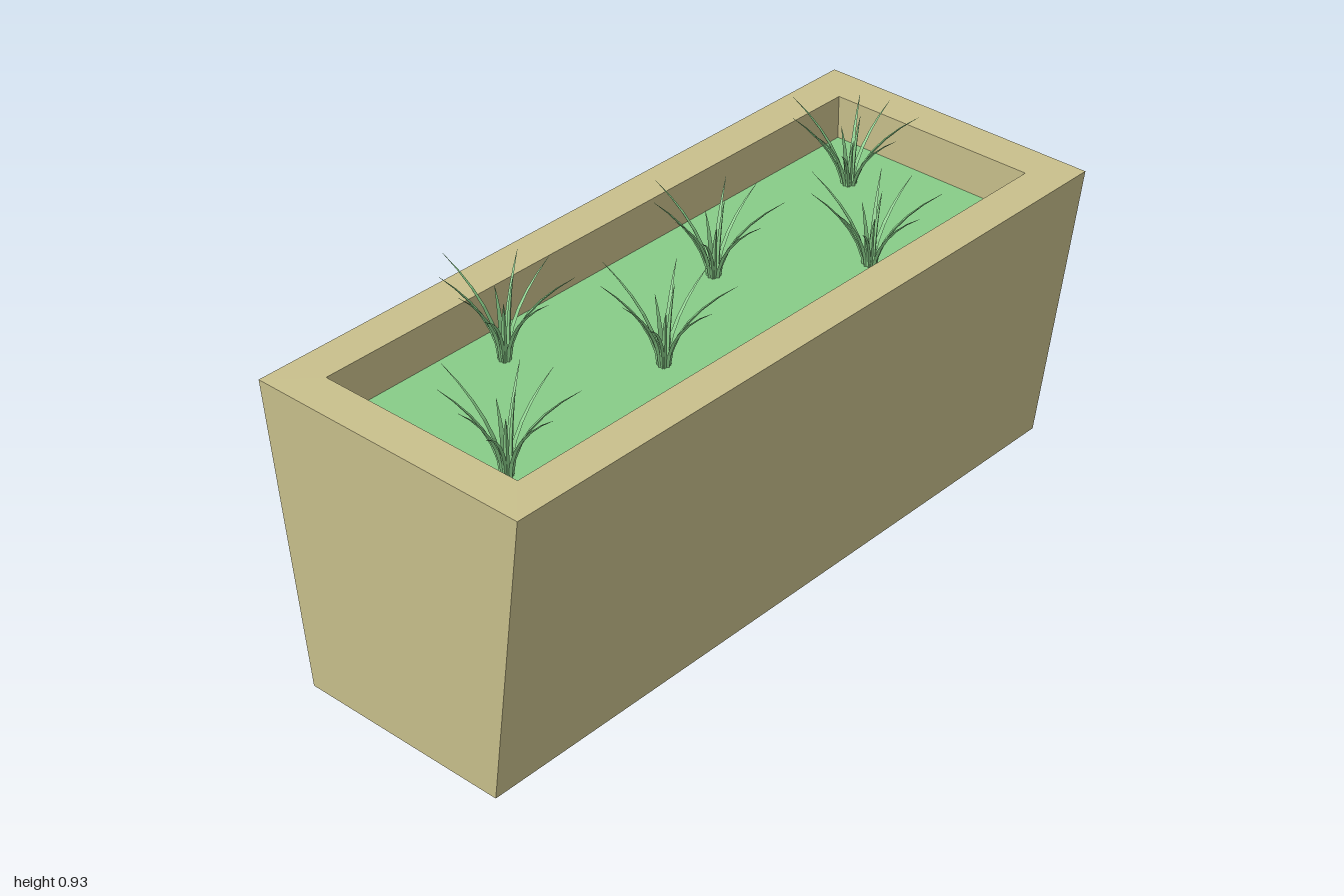
import * as THREE from 'three';

const H = 0.815, SOIL = 0.695;
const TOP_X = 0.405, BASE_X = 0.302, END_Z = 1;
const IN_X = 0.3, IN_Z = 0.893;

const mat = (color, side = THREE.FrontSide) =>
  new THREE.MeshStandardMaterial({ color, side, flatShading: true });

function add(parent, name, geometry, material) {
  const mesh = new THREE.Mesh(geometry, material);
  mesh.name = name;
  parent.add(mesh);
  return mesh;
}

// Box between two heights, keeping only the listed faces (+x, -x, +y, -y, +z, -z = 0..5)
function openBox(w, d, y0, y1, faces) {
  const g = new THREE.BoxGeometry(w, y1 - y0, d).translate(0, (y0 + y1) / 2, 0);
  const index = Array.from(g.index.array);
  g.setIndex(faces.flatMap((f) => index.slice(f * 6, f * 6 + 6)));
  g.clearGroups();
  return g;
}

function rectangle(path, x, z) {
  path.moveTo(-x, -z);
  path.lineTo(x, -z);
  path.lineTo(x, z);
  path.lineTo(-x, z);
  path.closePath();
  return path;
}

// Curved three-sided blade that tapers to a point at (x, y, z)
function bladeGeometry([x, y, z], width) {
  const rings = 6, sides = 3, pos = [], index = [];
  const reach = Math.hypot(x, z), ux = x / reach, uz = z / reach;
  for (let i = 0; i <= rings; i++) {
    const t = i / rings;
    const r = 0.012 + (reach - 0.012) * Math.pow(t, 1.8);
    const h = y * (1.2 * t - 0.2 * t * t);
    const w = width * (0.75 + 0.9 * t) * (1 - t) + 0.0004;
    for (let k = 0; k < sides; k++) {
      const a = (k / sides) * Math.PI * 2;
      const out = r + Math.cos(a) * w * 0.6, across = Math.sin(a) * w;
      pos.push(ux * out - uz * across, h - Math.cos(a) * w * 0.5 * t, uz * out + ux * across);
    }
  }
  for (let i = 0; i < rings; i++) {
    for (let k = 0; k < sides; k++) {
      const a = i * sides + k, b = i * sides + ((k + 1) % sides);
      index.push(a, a + sides, b, b, a + sides, b + sides);
    }
  }
  const g = new THREE.BufferGeometry();
  g.setAttribute('position', new THREE.Float32BufferAttribute(pos, 3));
  g.setIndex(index);
  g.computeVertexNormals();
  return g;
}

export function createModel() {
  const model = new THREE.Group();
  model.name = 'planterWithGrass';
  const clay = mat(0xc9c08c);
  const green = mat(0x88cc88);
  const grass = mat(0x88cc88, THREE.DoubleSide);

  // Planter: tapered outer shell, flat rim and upright inner walls
  const planter = new THREE.Group();
  planter.name = 'planter';
  model.add(planter);
  const shell = openBox(2 * TOP_X, 2 * END_Z, 0, H, [0, 1, 3, 4, 5]);
  const p = shell.attributes.position;
  for (let i = 0; i < p.count; i++) {
    if (p.getY(i) < H / 2) p.setX(i, Math.sign(p.getX(i)) * BASE_X);
  }
  shell.computeVertexNormals();
  add(planter, 'outerShell', shell, clay);

  const rim = rectangle(new THREE.Shape(), TOP_X, END_Z);
  rim.holes.push(rectangle(new THREE.Path(), IN_X, IN_Z));
  add(planter, 'rim', new THREE.ShapeGeometry(rim).rotateX(-Math.PI / 2).translate(0, H, 0), clay);
  add(planter, 'innerWalls', openBox(2 * IN_X, 2 * IN_Z, SOIL, H, [0, 1, 4, 5]),
    mat(0xc9c08c, THREE.BackSide));

  // Green bed inside the planter
  add(model, 'bed', new THREE.PlaneGeometry(2 * IN_X, 2 * IN_Z).rotateX(-Math.PI / 2)
    .translate(0, SOIL, 0), green);

  // Blade tips relative to the tuft's foot: long outer blades, then short upright ones
  const tips = [
    [-0.17, 0.225, 0.022], [0.142, 0.2, -0.008], [0.133, 0.225, -0.105], [0.005, 0.21, -0.15],
    [-0.066, 0.215, -0.118], [-0.118, 0.21, 0.085], [-0.012, 0.215, 0.125], [0.088, 0.2, 0.142],
    [0.04, 0.18, 0.035], [-0.045, 0.17, -0.02], [0.008, 0.215, -0.03],
  ];
  const blades = tips.map((tip, i) => bladeGeometry(tip, i < 8 ? 0.0085 : 0.01));

  // Tufts: x, z and foot height
  const tufts = [
    [-0.125, -0.725, 0.665], [0.165, -0.455, 0.672], [-0.08, -0.16, 0.68],
    [0.1, 0.215, 0.69], [-0.19, 0.445, 0.7], [0.145, 0.775, 0.7],
  ];
  for (const [x, z, y] of tufts) {
    const tuft = new THREE.Group();
    tuft.name = 'grassTuft';
    tuft.position.set(x, Math.min(y, SOIL), z);
    tuft.scale.y = (y + 0.225 - tuft.position.y) / 0.225;
    for (const g of blades) add(tuft, 'blade', g, grass);
    model.add(tuft);
  }
  return model;
}
